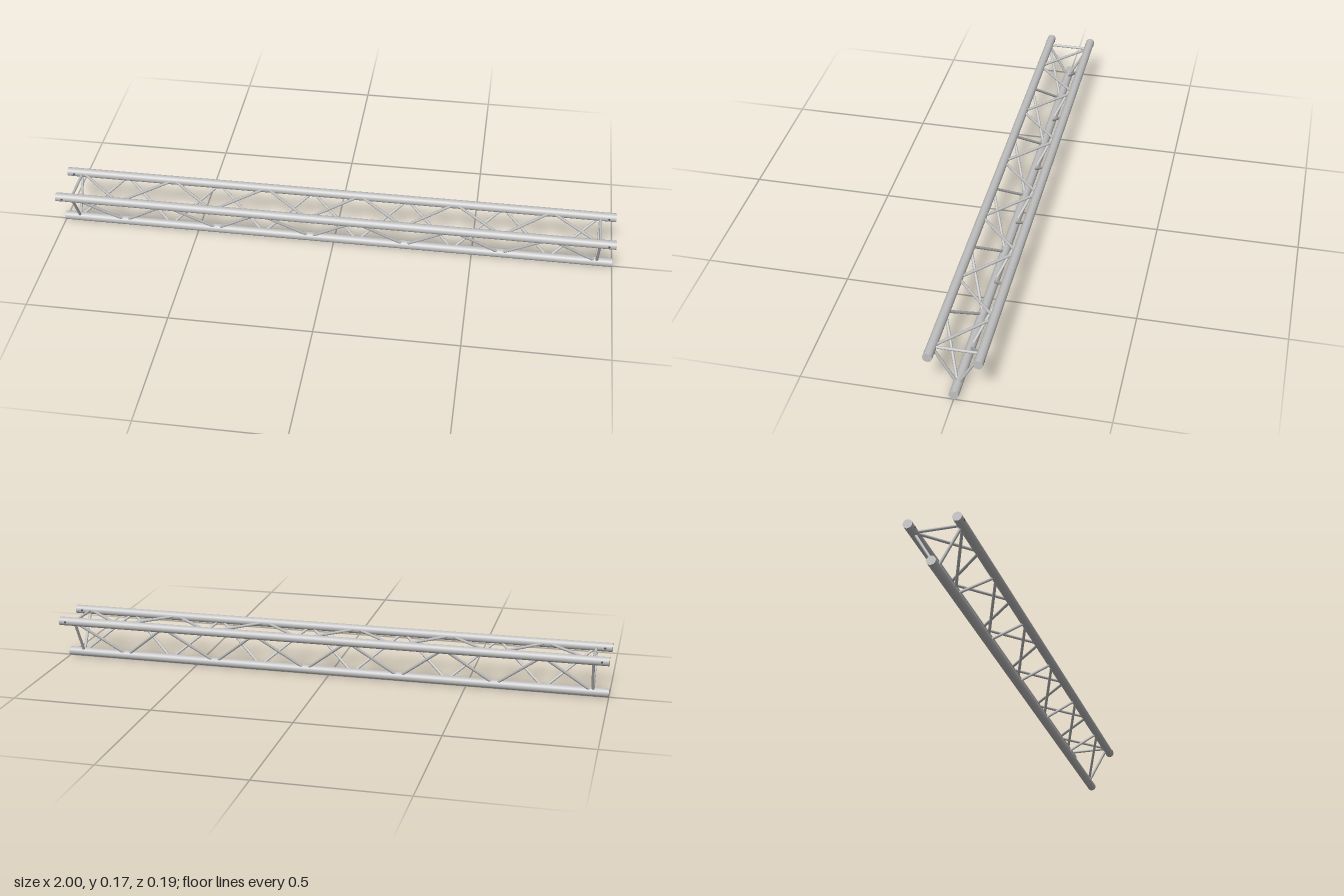
import * as THREE from 'three';

export function createModel() {
  const group = new THREE.Group();
  const aluminium = new THREE.MeshStandardMaterial({ color: 0xc0c0c0 });
  aluminium.name = 'aluminium';
  const holeGrey = new THREE.MeshStandardMaterial({ color: 0x505050 });
  holeGrey.name = 'hole grey';

  const R = 0.0158, BRACE = 0.005, END = 0.945, PANELS = 11;
  // chord centres as [y, z]: front top, bottom, back top
  const chords = [[0.156, 0.08], [R, 0], [0.156, -0.08]];
  const names = ['frontChord', 'bottomChord', 'backChord'];
  const sides = ['front', 'back', 'top'];
  const at = (i, x) => new THREE.Vector3(x, ...chords[i % 3]);

  // round bar between two points
  function bar(name, a, b, radius, segments, open) {
    const dir = b.clone().sub(a);
    const mesh = new THREE.Mesh(
      new THREE.CylinderGeometry(radius, radius, dir.length(), segments, 1, open), aluminium);
    mesh.position.copy(a).add(b).multiplyScalar(0.5);
    mesh.quaternion.setFromUnitVectors(new THREE.Vector3(0, 1, 0), dir.normalize());
    mesh.name = name;
    group.add(mesh);
  }

  for (let i = 0; i < 3; i++) {
    // long main tubes
    bar(names[i], at(i, -1), at(i, 1), R, 32, false);
    // end frames
    for (const x of [-END, END]) bar(sides[i] + 'EndBrace', at(i, x), at(i + 1, x), BRACE, 12, true);
    // zigzag lacing, running the same way round on all three sides
    const step = 2 * END / PANELS;
    for (let p = 0; p < PANELS; p++) {
      const x = -END + p * step;
      bar(sides[i] + 'Diagonal', at(i + p % 2, x), at(i + (p + 1) % 2, x + step), BRACE, 12, true);
    }
  }

  // pin holes near the ends of the two upper tubes
  for (const i of [0, 2]) for (const x of [-0.975, 0.975]) for (const s of [-1, 1]) {
    const hole = new THREE.Mesh(new THREE.CylinderGeometry(0.004, 0.004, 0.001, 12), holeGrey);
    hole.rotation.x = Math.PI / 2;
    hole.position.copy(at(i, x));
    hole.position.z += s * R;
    hole.name = 'pinHole';
    group.add(hole);
  }
  return group;
}
